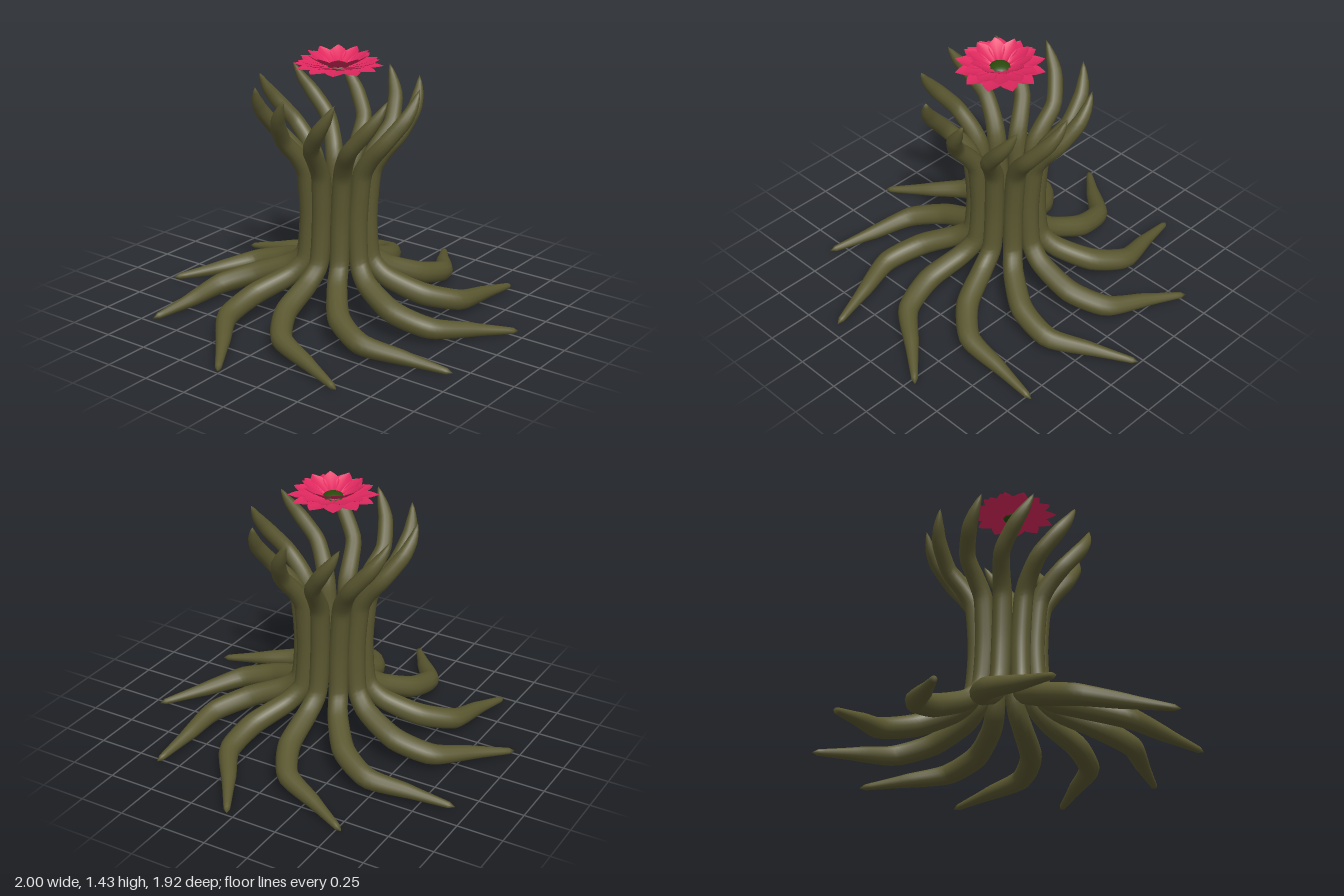
import * as THREE from 'three';
import { mergeVertices } from 'three/addons/utils/BufferGeometryUtils.js';

const bark = new THREE.MeshStandardMaterial({ color: 0x5a5730 });
const pink = new THREE.MeshStandardMaterial({ color: 0xe0285f, side: THREE.DoubleSide });
const green = new THREE.MeshStandardMaterial({ color: 0x2a4a0c });

// Stem stations from root tip to branch tip: [radius from axis, height, swirl in degrees, thickness]
const stations = [
  [1.0, 0.018, 0, 0.013],
  [0.8, 0.055, 10, 0.038],
  [0.655, 0.09, 24, 0.056],
  [0.47, 0.145, 33, 0.06],
  [0.27, 0.225, 35, 0.055],
  [0.18, 0.32, 32, 0.052],
  [0.16, 0.55, 30, 0.053],
  [0.18, 0.8, 27, 0.051],
  [0.235, 0.9, 26, 0.047],
  [0.32, 1.0, 23, 0.043],
  [0.395, 1.12, 12, 0.04],
  [0.425, 1.2, 5, 0.027],
  [0.44, 1.275, 0, 0.004],
];

// Extra swirl of each root's tip, in degrees
const tipSwirl = [0, 0, -1, -1, -2, -2, 5, 1, 2, 1.5];

// Tube whose thickness follows the stations, closed at both ends
function stemGeometry(extra) {
  const points = stations.map(([r, y, swirl], i) => {
    const a = THREE.MathUtils.degToRad(swirl + extra * Math.max(0, 1 - i * 0.3));
    return new THREE.Vector3(r * Math.cos(a), y, r * Math.sin(a));
  });
  const curve = new THREE.CatmullRomCurve3(points, false, 'catmullrom', 0.35);
  const rings = 64, sides = 12;
  const geo = new THREE.TubeGeometry(curve, rings, 1, sides);
  const pos = geo.attributes.position;
  const v = new THREE.Vector3();
  for (let i = 0; i <= rings; i++) {
    const center = curve.getPointAt(i / rings);
    const t = curve.getUtoTmapping(i / rings) * (stations.length - 1);
    const k = Math.min(Math.floor(t), stations.length - 2);
    const thick = THREE.MathUtils.lerp(stations[k][3], stations[k + 1][3], t - k);
    const r = i === 0 || i === rings ? 0 : thick;
    for (let j = 0; j <= sides; j++) {
      const n = i * (sides + 1) + j;
      v.fromBufferAttribute(pos, n).sub(center).multiplyScalar(r).add(center);
      pos.setXYZ(n, v.x, v.y, v.z);
    }
  }
  geo.deleteAttribute('uv');
  geo.deleteAttribute('normal');
  const merged = mergeVertices(geo, 1e-5);
  merged.computeVertexNormals();
  return merged;
}

// Pointed, slightly cupped petal along +x
function petalGeometry(length, width, rise) {
  const geo = new THREE.PlaneGeometry(1, 1, 10, 4);
  geo.rotateX(-Math.PI / 2);
  const pos = geo.attributes.position;
  for (let i = 0; i < pos.count; i++) {
    const u = pos.getX(i) + 0.5, s = pos.getZ(i) * 2;
    const half = (width / 2) * Math.sin(Math.PI * Math.pow(u, 1.4));
    pos.setXYZ(i, 0.02 + u * (length - 0.02), rise * Math.pow(u, 1.5) + 0.012 * s * s * Math.sin(Math.PI * u), s * half);
  }
  geo.computeVertexNormals();
  return geo;
}

function createFlower() {
  const flower = new THREE.Group();
  flower.name = 'flower';
  // Rings: [count, length, width, tip rise, base height]
  const layers = [
    [12, 0.235, 0.105, 0.02, 1.352],
    [12, 0.21, 0.1, 0.045, 1.356],
    [10, 0.165, 0.085, 0.075, 1.36],
  ];
  layers.forEach(([count, length, width, rise, y], k) => {
    const geo = petalGeometry(length, width, rise);
    for (let i = 0; i < count; i++) {
      const petal = new THREE.Mesh(geo, pink);
      petal.name = 'petal';
      petal.position.y = y;
      petal.rotation.y = ((i + k * 0.5) / count) * Math.PI * 2;
      flower.add(petal);
    }
  });
  const heart = new THREE.Mesh(new THREE.SphereGeometry(0.056, 20, 12), green);
  heart.name = 'flowerCentre';
  heart.scale.y = 0.5;
  heart.position.y = 1.36;
  flower.add(heart);
  flower.position.set(-0.025, 0, 0.017);
  return flower;
}

export function createModel() {
  const model = new THREE.Group();
  model.name = 'floweringTree';

  // Ring of ten stems forming roots, trunk and branches
  const trunk = new THREE.Group();
  trunk.name = 'trunk';
  tipSwirl.forEach((extra, i) => {
    const stem = new THREE.Mesh(stemGeometry(extra), bark);
    stem.name = 'stem';
    stem.rotation.y = -THREE.MathUtils.degToRad(2 + i * 36);
    trunk.add(stem);
  });
  model.add(trunk, createFlower());
  return model;
}
